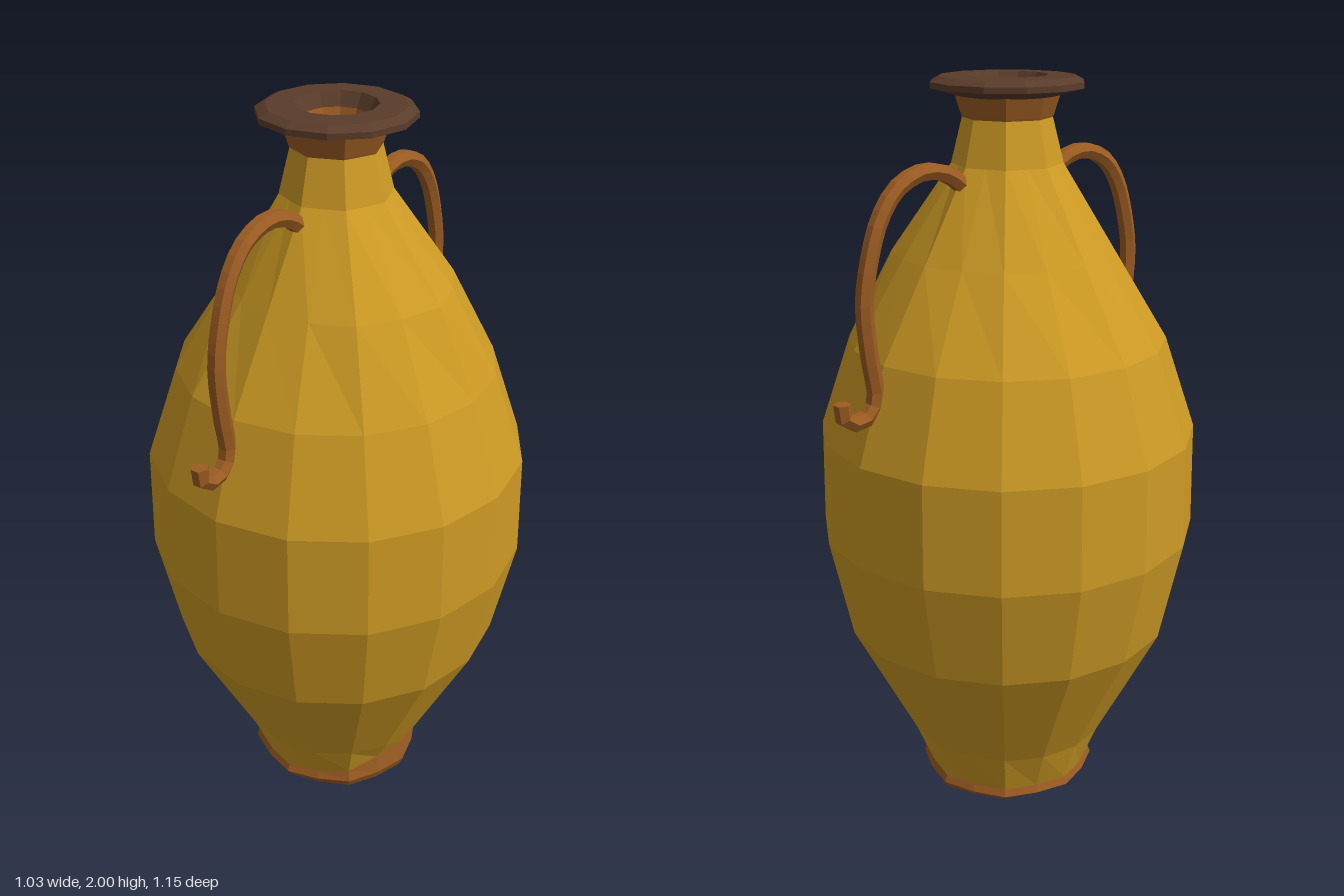
import * as THREE from 'three';

const SIDES = 16;

function material(name, color) {
  const m = new THREE.MeshStandardMaterial({ color, flatShading: true });
  m.name = name;
  return m;
}

// Faceted turned shape; adjust(phi, ring, i) may return { r, y } changes for a vertex.
function turned(name, profile, mat, sides = SIDES, adjust = null) {
  const pts = profile.map(([r, y]) => new THREE.Vector2(r, y));
  const geo = new THREE.LatheGeometry(pts, sides);
  if (adjust) {
    const pos = geo.attributes.position;
    for (let i = 0; i <= sides; i++) {
      const phi = (i / sides) * Math.PI * 2;
      for (let j = 0; j < pts.length; j++) {
        const { r, y } = adjust(phi, j, i % sides, pts[j].x, pts[j].y);
        pos.setXYZ(i * pts.length + j, r * Math.sin(phi), y, r * Math.cos(phi));
      }
    }
    geo.computeVertexNormals();
  }
  const mesh = new THREE.Mesh(geo, mat);
  mesh.name = name;
  return mesh;
}

// Uneven seam between foot and body: peaks on the left (+x) side.
const seamY = (phi) => 0.05 + 0.045 * Math.max(0, Math.sin(phi)) ** 3;

export function createModel() {
  const model = new THREE.Group();
  model.name = 'amphora';

  const ochre = material('ochre clay', 0xcd9a24);
  const brown = material('brown clay', 0x9c5c22);
  const dark = material('dark rim brown', 0x5a3c2a);

  // Body: sixteen sides at the belly, blending to eight at the neck
  const body = [
    [0.24, 0.05], [0.28, 0.17], [0.455, 0.51], [0.515, 0.79], [0.51, 1.07],
    [0.425, 1.32], [0.285, 1.55], [0.145, 1.78], [0.115, 1.9],
  ];
  model.add(turned('body', body, ochre, SIDES, (phi, j, i, r, y) => {
    if (j === 0) y = seamY(phi);
    if (j === 6) r += 0.03 * Math.max(0, Math.sin(phi));
    const snap = j >= 7 ? 0.924 : j === 6 || j === 0 ? 0.965 : 1;
    return { r: i % 2 ? r * snap : r, y };
  }));

  // Foot with a closed underside
  model.add(turned('foot', [[0, 0.015], [0.235, 0.005], [0.248, 0.03], [0.24, 0.05]], brown, SIDES,
    (phi, j, i, r, y) => ({
      r: i % 2 ? r * 0.965 : r,
      y: j === 3 ? seamY(phi) : j === 1 ? 0.01 + 0.01 * Math.cos(phi + 1.57) : y,
    })));

  // Collar, flared rim and mouth
  model.add(turned('collar', [[0.112, 1.885], [0.118, 1.9], [0.135, 1.953]], brown, 8));
  model.add(turned('rim', [
    [0.13, 1.95], [0.2, 1.97], [0.2, 1.985], [0.175, 1.998], [0.105, 2.0], [0.085, 1.965],
  ], dark, 12));
  model.add(turned('throat', [[0.085, 1.965], [0.066, 1.9]], brown, 12));

  // Inner wall and floor
  model.add(turned('interior', [
    [0.066, 1.9], [0.1, 1.75], [0.36, 1.32], [0.45, 1.07], [0.46, 0.79], [0.4, 0.51], [0.2, 0.12], [0, 0.1],
  ], ochre, 8));

  // Two looped handles ending in upturned hooks
  const path = [
    [0.13, 1.71], [0.165, 1.745], [0.215, 1.775], [0.285, 1.785], [0.365, 1.755], [0.42, 1.69],
    [0.455, 1.6], [0.477, 1.49], [0.468, 1.36], [0.452, 1.24], [0.475, 1.203],
    [0.52, 1.192], [0.552, 1.213], [0.555, 1.25],
  ].map(([z, y]) => new THREE.Vector3(0, y, z));
  const curve = new THREE.CatmullRomCurve3(path);
  const tube = new THREE.TubeGeometry(curve, 26, 0.023, 6);
  const capGeo = new THREE.CircleGeometry(0.023, 6);
  for (const side of ['front', 'back']) {
    const handle = new THREE.Group();
    handle.name = side + 'Handle';
    const loop = new THREE.Mesh(tube, brown);
    loop.name = 'loop';
    const cap = new THREE.Mesh(capGeo, brown);
    cap.name = 'hookEnd';
    cap.position.copy(path[path.length - 1]);
    cap.rotation.x = -Math.PI / 2;
    handle.add(loop, cap);
    if (side === 'back') handle.rotation.y = Math.PI;
    model.add(handle);
  }

  return model;
}
